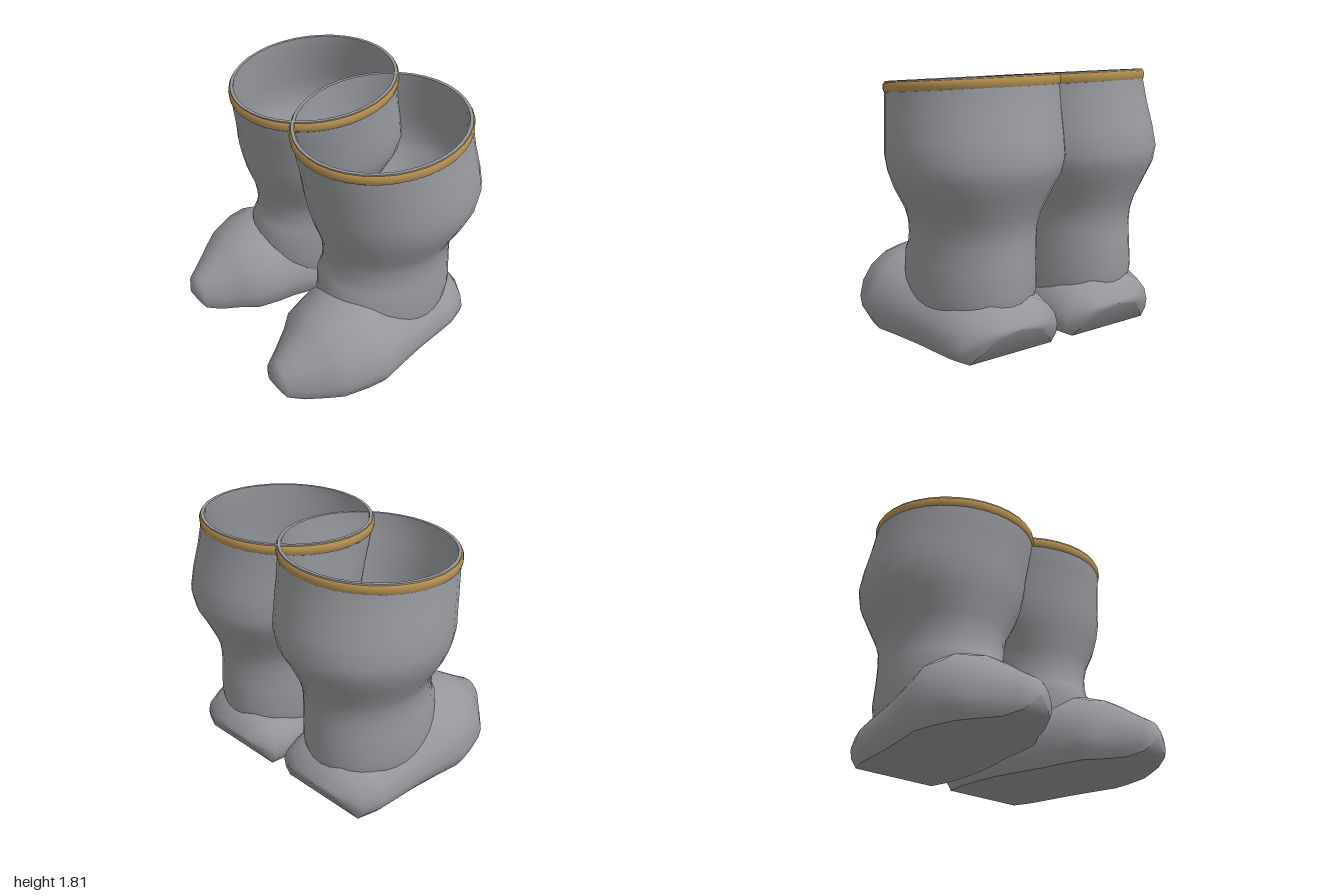
import * as THREE from 'three';

const grey = new THREE.MeshStandardMaterial({ color: 0x97989c });
grey.name = 'grey leather';
const gold = new THREE.MeshStandardMaterial({ color: 0xb48f4e });
gold.name = 'gold trim';

// Surface through rows of points; closed joins each row into a ring, side = -1 mirrors in x.
function grid(rows, closed, side) {
  const n = rows[0].length, pos = [], index = [];
  for (const row of rows) for (const [x, y, z] of row) pos.push(side * x, y, z);
  const tri = (a, b, c) => (side > 0 ? index.push(a, b, c) : index.push(a, c, b));
  for (let i = 0; i < rows.length - 1; i++) {
    for (let j = 0; j < (closed ? n : n - 1); j++) {
      const k = (j + 1) % n, a = i * n + j, b = i * n + k;
      tri(a, b, a + n);
      tri(b, b + n, a + n);
    }
  }
  const g = new THREE.BufferGeometry();
  g.setAttribute('position', new THREE.Float32BufferAttribute(pos, 3));
  g.setIndex(index);
  g.computeVertexNormals();
  return g;
}

// Elliptical ring, tilted up towards the back by the given amount
function ring([y, cx, rx, cz, rz, tilt], grow = 0, lift = 0) {
  const pts = [];
  for (let j = 0; j < 36; j++) {
    const a = (j / 36) * Math.PI * 2, dz = -Math.sin(a) * (rz + grow);
    pts.push([cx + Math.cos(a) * (rx + grow), y + lift - dz * 0.083 * tilt, cz + dz]);
  }
  return pts;
}

// Shaft rings from the ankle up: y, centre x, radius x, centre z, radius z, tilt
const SHAFT = [
  [0.10, 0.43, 0.36, -0.20, 0.46, 0],
  [0.25, 0.43, 0.40, -0.20, 0.51, 0],
  [0.40, 0.43, 0.42, -0.20, 0.53, 0],
  [0.58, 0.425, 0.412, -0.20, 0.52, 0],
  [0.64, 0.422, 0.408, -0.217, 0.499, 0],
  [0.72, 0.42, 0.408, -0.223, 0.488, 0],
  [0.81, 0.42, 0.412, -0.225, 0.492, 0],
  [0.90, 0.42, 0.44, -0.23, 0.51, 0],
  [1.05, 0.42, 0.52, -0.235, 0.565, 0],
  [1.16, 0.415, 0.568, -0.25, 0.605, 0],
  [1.27, 0.41, 0.59, -0.25, 0.625, 0],
  [1.40, 0.40, 0.587, -0.23, 0.615, 0.3],
  [1.55, 0.385, 0.58, -0.195, 0.605, 0.6],
  [1.68, 0.373, 0.575, -0.17, 0.60, 1],
  [1.76, 0.37, 0.573, -0.165, 0.597, 1],
];
const TOP = SHAFT[SHAFT.length - 1];

// Foot stations from toe to heel: z, centre x, half width, bottom, top
const FOOT = [
  [0.878, 0.55, 0, 0.14, 0.14],
  [0.87, 0.55, 0.07, 0.08, 0.19],
  [0.84, 0.55, 0.13, 0.03, 0.26],
  [0.74, 0.555, 0.20, 0, 0.325],
  [0.60, 0.56, 0.30, 0, 0.425],
  [0.50, 0.55, 0.38, 0, 0.49],
  [0.33, 0.55, 0.425, 0, 0.56],
  [0.20, 0.55, 0.445, 0, 0.57],
  [0.00, 0.50, 0.45, 0, 0.53],
  [-0.20, 0.46, 0.45, 0, 0.48],
  [-0.40, 0.44, 0.44, 0, 0.44],
  [-0.55, 0.43, 0.425, 0, 0.41],
  [-0.69, 0.42, 0.38, 0, 0.38],
  [-0.78, 0.42, 0.22, 0.16, 0.24],
  [-0.795, 0.42, 0, 0.2, 0.2],
];

// Half outline of the foot in cross-section: sideways, upwards
const HALF = [[0.86, 0], [0.97, 0.15], [1, 0.32], [0.93, 0.55], [0.75, 0.76], [0.45, 0.93], [0.2, 0.99]];
const OUTLINE = [
  ...HALF.map(([u, v]) => [-u, v]), [0, 1], ...HALF.slice().reverse(),
];

function boot(side) {
  const g = new THREE.Group();
  const add = (name, geometry, material) => {
    const m = new THREE.Mesh(geometry, material);
    m.name = name;
    g.add(m);
  };

  // Shaft: outer wall, flat lip and inner wall
  const outer = SHAFT.map((r) => ring(r));
  const inner = SHAFT.slice(1).reverse().map((r) => ring(r, -0.022));
  add('shaft', grid(outer, true, side), grey);
  add('shaftLip', grid([ring(TOP), ring(TOP, -0.022)], true, side), grey);
  add('shaftLining', grid(inner, true, side), grey);

  // Rounded trim band just below the lip
  const band = [[-0.002, -0.076], [0.009, -0.066], [0.013, -0.04], [0.01, -0.016], [-0.002, -0.008]];
  add('trimBand', grid(band.map(([grow, lift]) => ring(TOP, grow, lift)), true, side), gold);

  // Foot upper and flat sole
  const section = (outline) => FOOT.map(([z, cx, w, b, t]) =>
    outline.map(([u, v]) => [cx + u * w, b + v * (t - b), z]));
  add('footUpper', grid(section(OUTLINE), false, side), grey);
  add('sole', grid(section([[0.86, 0], [-0.86, 0]]), false, side), grey);
  return g;
}

export function createModel() {
  const model = new THREE.Group();
  model.name = 'bootPair';
  for (const side of [1, -1]) {
    const b = boot(side);
    b.name = side > 0 ? 'leftBoot' : 'rightBoot';
    model.add(b);
  }
  return model;
}
